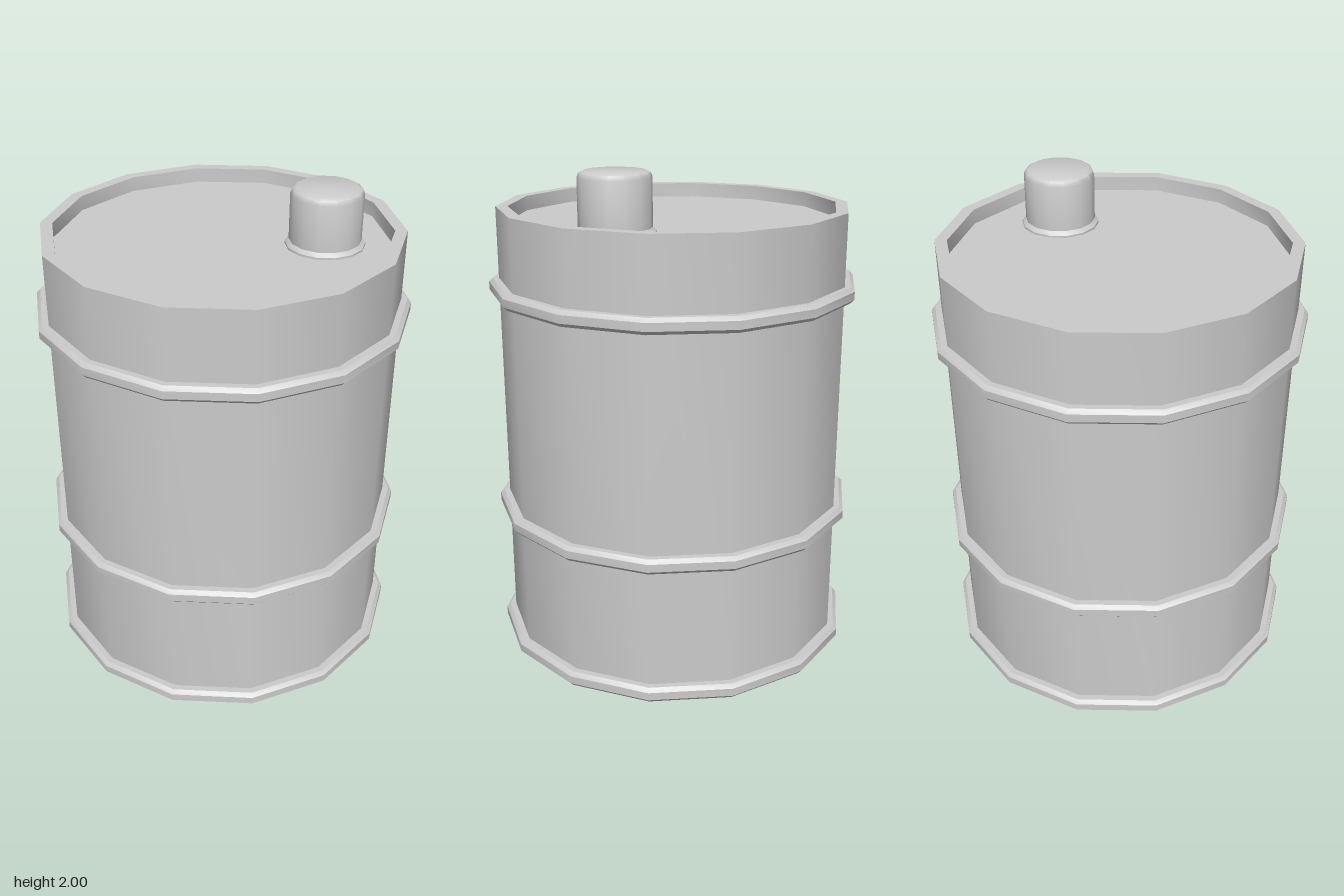
import * as THREE from 'three';
import { toCreasedNormals } from 'three/addons/utils/BufferGeometryUtils.js';

const SIDES = 14;
const WALL = 0.708; // outer radius of the wall

export function createModel() {
  const group = new THREE.Group();
  group.name = 'barrel';
  const material = new THREE.MeshStandardMaterial({ color: 0xcccccc });

  // 14-sided turned part with a corner on the x axis
  function turned(name, profile, crease = 0.6) {
    const points = profile.map(([r, y]) => new THREE.Vector2(r, y));
    const lathe = new THREE.LatheGeometry(points, SIDES, Math.PI / 2);
    const mesh = new THREE.Mesh(toCreasedNormals(lathe, crease), material);
    mesh.name = name;
    group.add(mesh);
    return mesh;
  }

  // Wall, rim and recessed lid
  turned('drumBody', [
    [0, 0], [WALL, 0], [WALL, 1.83], [0.66, 1.83], [0.66, 1.77], [0, 1.77],
  ]);

  // Bevelled hoops around the wall
  const hoops = [['bottomHoop', 0], ['lowerHoop', 0.555], ['upperHoop', 1.482]];
  for (const [name, y] of hoops) {
    turned(name, [
      [WALL, 0], [0.733, 0], [0.748, 0.015], [0.748, 0.047], [0.733, 0.062], [WALL, 0.062],
    ]).position.y = y;
  }

  // Filler cap with a thin flared foot and a rounded top edge
  const cap = turned('fillerCap', [
    [0.155, 0], [0.155, 0.008], [0.14, 0.022], [0.14, 0.205],
    [0.134, 0.222], [0.118, 0.23], [0, 0.23],
  ], 0.8);
  cap.position.set(0.395, 1.77, 0);

  return group;
}
